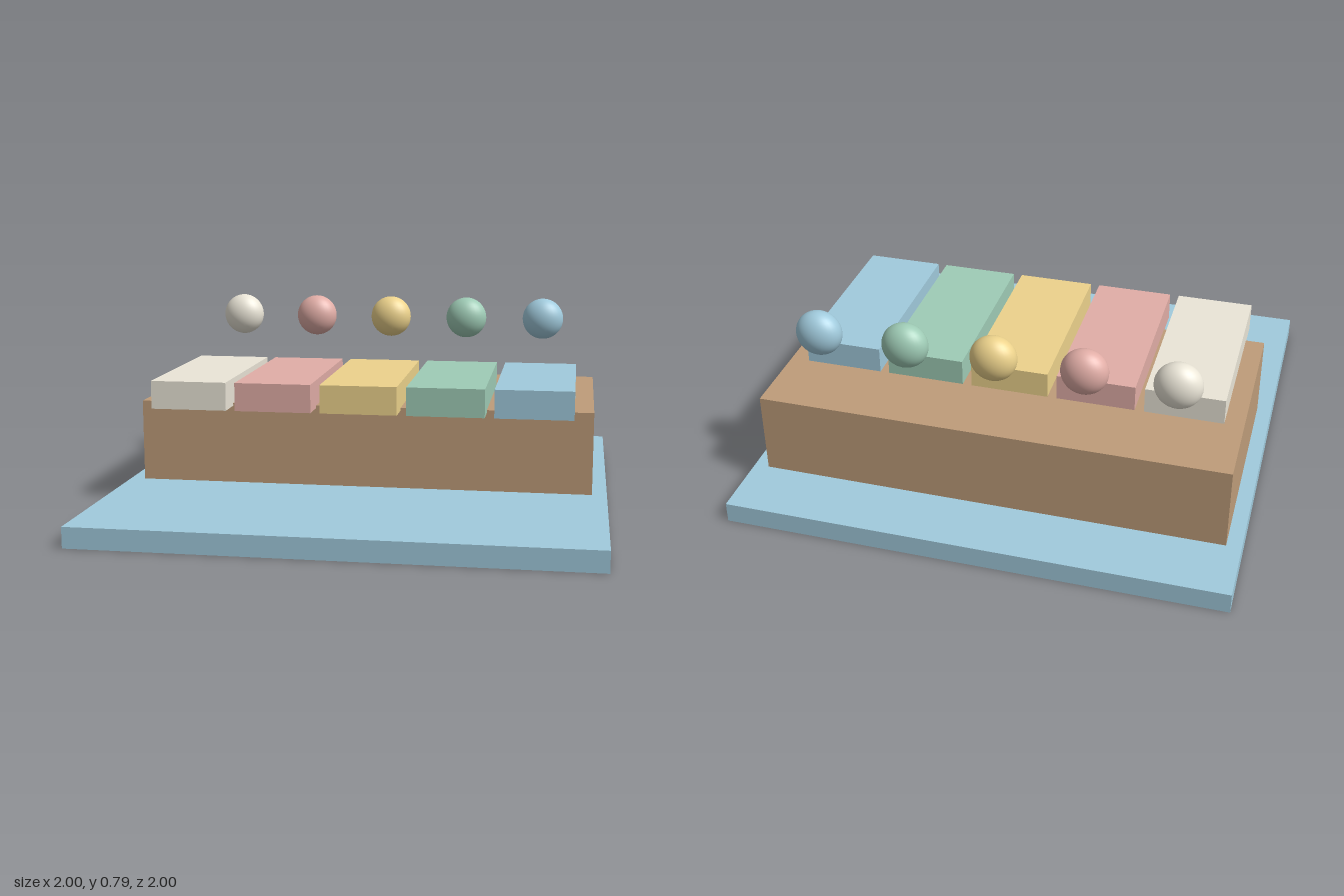
import * as THREE from 'three';

const material = (color) => new THREE.MeshStandardMaterial({ color });

function addMesh(group, name, geometry, mat, x, y, z) {
  const mesh = new THREE.Mesh(geometry, mat);
  mesh.name = name;
  mesh.position.set(x, y, z);
  group.add(mesh);
  return mesh;
}

export function createModel() {
  const group = new THREE.Group();
  group.name = 'keyboardToy';

  const blue = material(0xa1cbdd);
  const wood = material(0xbf9d7a);
  const keyMaterials = [
    material(0xebe6d8), // ivory
    material(0xe2aea7), // pink
    material(0xedd38c), // yellow
    material(0x9fccb6), // green
    blue,
  ];

  // Square base and wooden body set towards the back
  addMesh(group, 'base', new THREE.BoxGeometry(2, 0.083, 2), blue, 0, 0.0415, 0);
  addMesh(group, 'body', new THREE.BoxGeometry(1.88, 0.337, 0.94), wood, 0, 0.2515, -0.262);

  // Five keys overhanging the body, each with a flattened ball floating behind it
  const keyGeometry = new THREE.BoxGeometry(0.315, 0.116, 0.75);
  const ballGeometry = new THREE.SphereGeometry(0.0925, 32, 20);
  keyMaterials.forEach((mat, i) => {
    const x = (i - 2) * 0.3525;
    addMesh(group, `key${i + 1}`, keyGeometry, mat, x, 0.467, -0.047);
    addMesh(group, `ball${i + 1}`, ballGeometry, mat, x, 0.702, -0.625).scale.z = 0.75;
  });

  return group;
}
